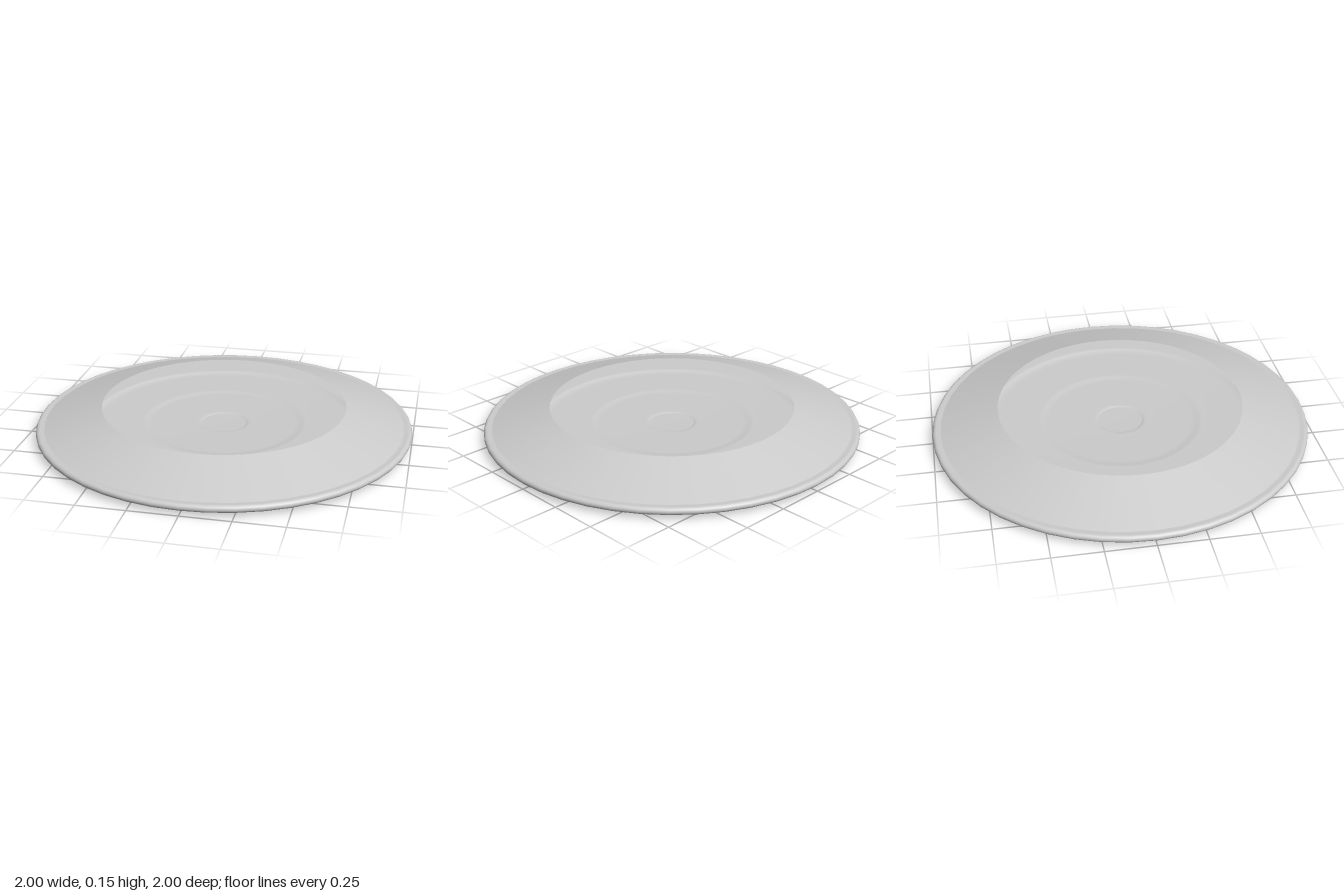
import * as THREE from 'three';

const SEGMENTS = 48;
const material = new THREE.MeshStandardMaterial({ color: 0xcccccc, side: THREE.DoubleSide });

function lathe(name, points) {
  const profile = points.map(([r, y]) => new THREE.Vector2(r, y));
  const mesh = new THREE.Mesh(new THREE.LatheGeometry(profile, SEGMENTS), material);
  mesh.name = name;
  return mesh;
}

// Stepped face from the centre outwards; each step ends in a soft shoulder
function steppedFace(base) {
  return [
    [0, base], [0.115, base], [0.125, base + 0.002], [0.127, base + 0.005],
    [0.15, base + 0.005], [0.38, base + 0.005], [0.41, base + 0.007], [0.423, base + 0.011],
    [0.44, base + 0.011], [0.66, base + 0.011], [0.69, base + 0.013],
    [0.708, base + 0.018], [0.714, base + 0.021], [0.73, base + 0.021],
  ];
}

export function createModel() {
  const group = new THREE.Group();
  group.name = 'steppedDish';

  // Underside and floor of the dish
  group.add(lathe('dishUnderside', [...steppedFace(0), [0.975, 0.021]]));
  group.add(lathe('dishFloor', [[0.975, 0.056], ...steppedFace(0.035).reverse()]));

  // Rounded outer rim
  const rim = [];
  for (let i = 0; i <= 10; i++) {
    const a = -Math.PI / 2 + (i / 10) * Math.PI;
    rim.push([0.98 + 0.02 * Math.cos(a), 0.039 + 0.019 * Math.sin(a)]);
  }
  group.add(lathe('outerRim', [[0.97, 0.02], ...rim, [0.965, 0.057]]));

  // Sloping collar, open in the middle and overhanging the floor
  group.add(lathe('slopingCollar', [[0.975, 0.05], [0.65, 0.152]]));

  return group;
}
